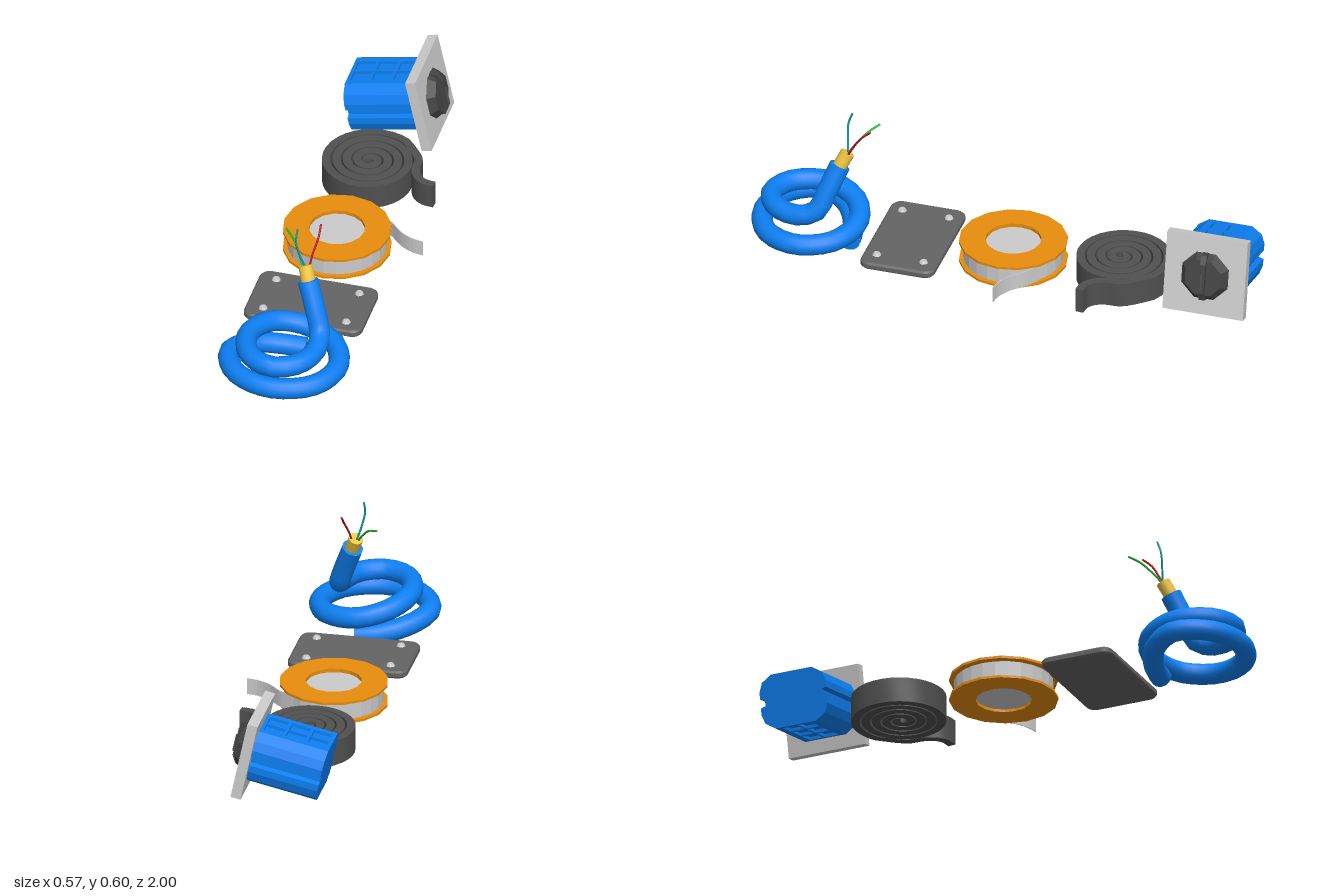
import * as THREE from 'three';
import { toCreasedNormals } from 'three/addons/utils/BufferGeometryUtils.js';

const BLUE = 0x0d7ff2, DARK = 0x505050, GOLD = 0xeec540, ORANGE = 0xe88d0c, GREY = 0xcccccc;

const V = (a) => new THREE.Vector3(...a);

function add(parent, name, geometry, color, flat = false) {
  const m = new THREE.Mesh(geometry, new THREE.MeshStandardMaterial({ color, flatShading: flat }));
  m.name = name;
  parent.add(m);
  return m;
}

// round cable along a path, closed at both ends
function cable(parent, name, pts, r, color, segs, sides) {
  const curve = new THREE.CatmullRomCurve3(pts.map(V));
  const g = new THREE.Group();
  g.name = name;
  parent.add(g);
  add(g, name + 'Skin', new THREE.TubeGeometry(curve, segs, r, sides), color);
  for (const t of [0, 1]) {
    const cap = add(g, name + 'End', new THREE.CircleGeometry(r, sides), color);
    const dir = curve.getTangent(t).multiplyScalar(t ? 1 : -1);
    cap.position.copy(curve.getPoint(t));
    cap.quaternion.setFromUnitVectors(new THREE.Vector3(0, 0, 1), dir);
  }
}

// upright band of constant thickness following [x, z] points
function band(pts, thick, y0, y1) {
  const a = [], b = [];
  pts.forEach((p, i) => {
    const q = pts[Math.max(i - 1, 0)], n = pts[Math.min(i + 1, pts.length - 1)];
    const dx = n[0] - q[0], dy = q[1] - n[1], l = Math.hypot(dx, dy);
    const ox = -dy / l * thick / 2, oy = dx / l * thick / 2;
    a.push(new THREE.Vector2(p[0] + ox, -p[1] + oy));
    b.push(new THREE.Vector2(p[0] - ox, -p[1] - oy));
  });
  return new THREE.ExtrudeGeometry(new THREE.Shape(a.concat(b.reverse())), { depth: y1 - y0, bevelEnabled: false })
    .rotateX(-Math.PI / 2).translate(0, y0, 0);
}

// smooth list of [x, z] points through a few given ones
const smooth = (pts, n) =>
  new THREE.SplineCurve(pts.map((p) => new THREE.Vector2(...p))).getPoints(n).map((p) => [p.x, p.y]);

function cableCoil() {
  const g = new THREE.Group();
  g.name = 'cableCoil';
  // two loops, the upper one smaller, then the rising end
  cable(g, 'cableSheath', [
    [0.01, 0.038, 0.605], [-0.07, 0.045, 0.615], [-0.18, 0.068, 0.665], [-0.245, 0.09, 0.77],
    [-0.185, 0.095, 0.9], [-0.035, 0.095, 0.957], [0.12, 0.095, 0.9], [0.18, 0.097, 0.77],
    [0.13, 0.105, 0.635], [0, 0.122, 0.575], [-0.12, 0.15, 0.62], [-0.178, 0.17, 0.75],
    [-0.135, 0.173, 0.88], [-0.035, 0.173, 0.928], [0.06, 0.173, 0.88], [0.1, 0.178, 0.78],
    [0.093, 0.208, 0.71], [0.066, 0.285, 0.677], [0.027, 0.385, 0.638],
  ], 0.0405, BLUE, 56, 14);
  cable(g, 'innerSleeve', [[0.033, 0.37, 0.644], [0.009, 0.436, 0.613]], 0.028, GOLD, 1, 12);
  cable(g, 'greenWire', [[0.002, 0.425, 0.616], [-0.02, 0.46, 0.59], [-0.055, 0.502, 0.55], [-0.093, 0.52, 0.515]],
    0.004, 0x18b828, 14, 8);
  cable(g, 'tealWire', [[0.008, 0.425, 0.61], [-0.01, 0.48, 0.618], [-0.025, 0.545, 0.62], [-0.024, 0.593, 0.604]],
    0.004, 0x159a9f, 14, 8);
  cable(g, 'redWire', [[0.024, 0.425, 0.612], [0.03, 0.47, 0.588], [0.044, 0.53, 0.55], [0.043, 0.565, 0.512]],
    0.004, 0xb51022, 14, 8);
  return g;
}

function coverPlate() {
  const g = new THREE.Group();
  g.name = 'coverPlate';
  // rounded rectangle with chamfered rims
  const w = 0.226, h = 0.14, r = 0.033, s = new THREE.Shape();
  [[1, 1, 0], [-1, 1, 1], [-1, -1, 2], [1, -1, 3]].forEach(([x, y, q]) =>
    s.absarc(x * (w - r), y * (h - r), r, q * Math.PI / 2, (q + 1) * Math.PI / 2, false));
  const geo = new THREE.ExtrudeGeometry(s, {
    depth: 0.016, bevelSize: 0.007, bevelThickness: 0.007, bevelSegments: 1, curveSegments: 4,
  }).rotateX(-Math.PI / 2).translate(-0.037, 0.054, 0.367);
  add(g, 'plate', geo, 0x646464);
  for (const x of [-0.2, 0.128]) for (const z of [0.274, 0.46])
    add(g, 'rivet', new THREE.CylinderGeometry(0.012, 0.018, 0.01, 8), GREY, true).position.set(x, 0.081, z);
  return g;
}

function tapeSpool() {
  const g = new THREE.Group();
  g.name = 'tapeSpool';
  const profile = [[0.107, 0.045], [0.208, 0.045], [0.208, 0.055], [0.13, 0.055], [0.13, 0.126],
    [0.208, 0.126], [0.208, 0.136], [0.107, 0.136], [0.107, 0.045]].map((p) => new THREE.Vector2(...p));
  add(g, 'spoolBody', new THREE.LatheGeometry(profile, 16), ORANGE, true).position.set(-0.045, 0, -0.03);
  add(g, 'woundTape', new THREE.CylinderGeometry(0.19, 0.19, 0.065, 24), GREY, true).position.set(-0.045, 0.0885, -0.03);
  add(g, 'looseTape', band(smooth([[0.085, -0.172], [0.14, -0.137], [0.19, -0.088], [0.24, -0.06], [0.287, -0.05]], 14),
    0.003, 0.056, 0.121), GREY);
  return g;
}

function foamRoll() {
  // spiral that ends in a loose tail
  const pts = [];
  for (let t = -0.5; t <= 3.86; t += 1 / 32) {
    const r = 0.03 + 0.0395 * t, a = t * Math.PI * 2;
    pts.push([-0.037 + r * Math.cos(a), -0.463 + r * Math.sin(a)]);
  }
  const tail = smooth([pts[pts.length - 1], [0.137, -0.525], [0.145, -0.46], [0.162, -0.415], [0.195, -0.387], [0.24, -0.38]], 16);
  const geo = band(pts.concat(tail.slice(1)), 0.032, 0.045, 0.145);
  const g = new THREE.Group();
  g.name = 'foamRoll';
  add(g, 'foamStrip', toCreasedNormals(geo, 0.6), DARK);
  return g;
}

function rotarySwitch() {
  const g = new THREE.Group();
  g.name = 'rotarySwitch';
  add(g, 'frontPanel', new THREE.BoxGeometry(0.04, 0.315, 0.32), 0xc0c0c0);

  // blue housing: half outline in (z, y), mirrored all round, with side grooves and sunken top and bottom
  const q = [[0.06, 0.094], [0.06, 0.106], [0.085, 0.106], [0.125, 0.08], [0.138, 0.045],
    [0.138, 0.018], [0.118, 0.012]];
  const quad = (sx, sy) => q.map(([x, y]) => new THREE.Vector2(x * sx, y * sy));
  const outline = [...quad(1, 1), ...quad(1, -1).reverse(), ...quad(-1, -1), ...quad(-1, 1).reverse()];
  const len = 0.277;
  add(g, 'housing', new THREE.ExtrudeGeometry(new THREE.Shape(outline), { depth: len, bevelEnabled: false })
    .rotateY(-Math.PI / 2).translate(-0.019, 0, 0), BLUE);
  // ribs that split the sunken faces into six pockets each
  for (const y of [0.099, -0.099]) {
    add(g, 'lengthRib', new THREE.BoxGeometry(len, 0.014, 0.008), BLUE).position.set(-0.019 - len / 2, y, 0);
    for (let i = 0; i < 4; i++)
      add(g, 'crossRib', new THREE.BoxGeometry(0.014, 0.014, 0.122), BLUE).position.set(-0.289 + i * 0.087, y, 0);
  }

  // eight-sided tapered knob with a raised grip
  const knob = new THREE.CylinderGeometry(0.076, 0.1, 0.03, 8).rotateY(Math.PI / 8).rotateZ(-Math.PI / 2);
  add(g, 'knob', knob, 0x444444, true).position.x = 0.035;
  const grip = new THREE.Shape([[-0.095, 0.02], [0.095, 0.02], [0.09, 0.048], [0.058, 0.066], [-0.058, 0.066],
    [-0.09, 0.048]].map(([y, x]) => new THREE.Vector2(x, y)));
  add(g, 'knobGrip', new THREE.ExtrudeGeometry(grip, { depth: 0.022, bevelEnabled: false })
    .translate(0, 0, -0.011), 0x444444);
  add(g, 'gripPointer', new THREE.BoxGeometry(0.01, 0.07, 0.006), DARK).position.set(0.067, -0.01, 0);

  g.position.set(0.093, 0.213, -0.841);
  g.rotation.z = 0.21;
  return g;
}

export function createModel() {
  const model = new THREE.Group();
  model.name = 'electricalSupplies';
  model.add(cableCoil(), coverPlate(), tapeSpool(), foamRoll(), rotarySwitch());
  return model;
}
